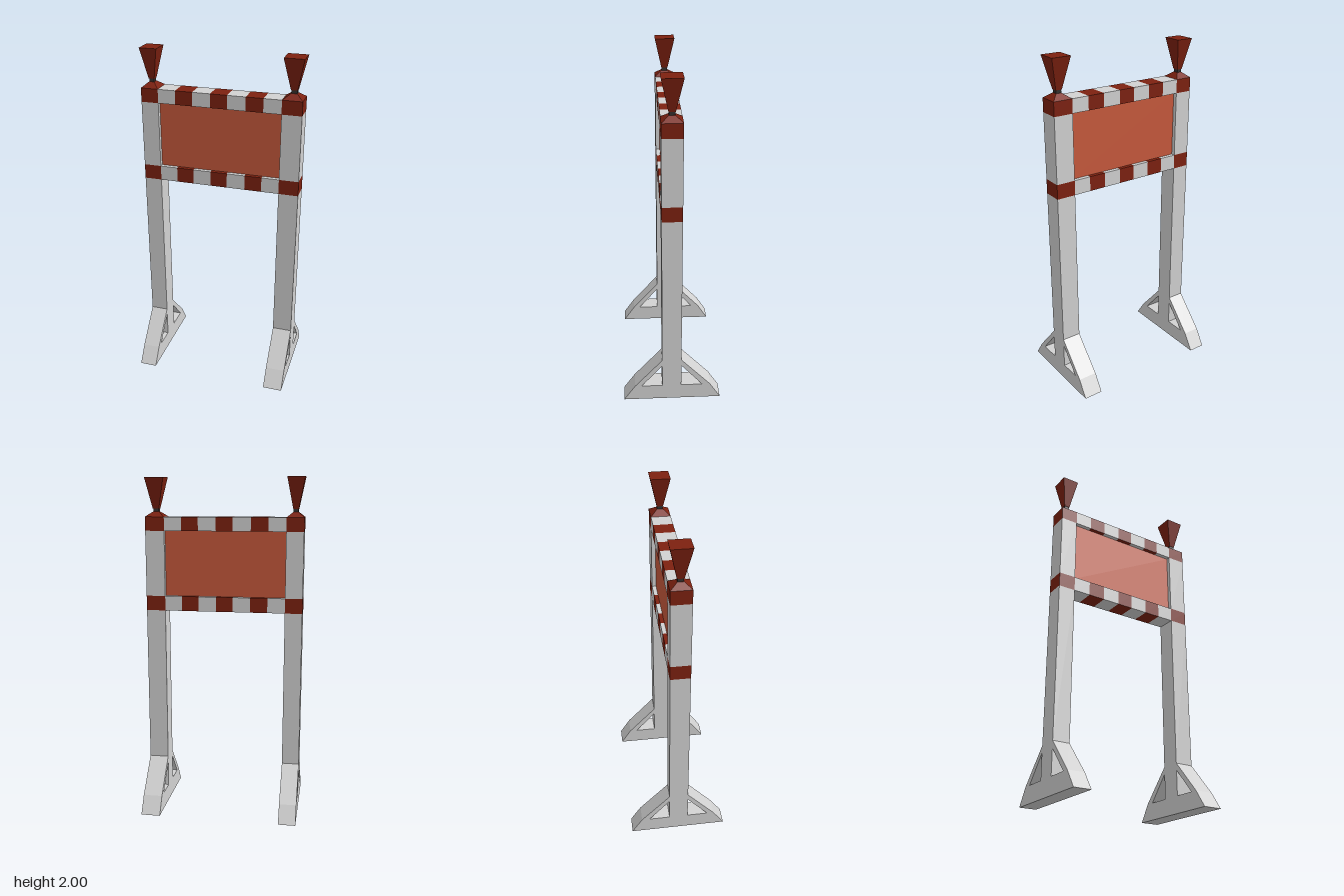
import * as THREE from 'three';

const white = new THREE.MeshStandardMaterial({ name: 'pale grey paint', color: 0xd2d2d2, flatShading: true });
const red = new THREE.MeshStandardMaterial({ name: 'dark red paint', color: 0x7d2110, flatShading: true });
const orange = new THREE.MeshStandardMaterial({ name: 'orange board', color: 0xc7593c, flatShading: true });
const dark = new THREE.MeshStandardMaterial({ name: 'dark neck', color: 0x33302e, flatShading: true });

const Z0 = -0.055, Z1 = 0.06;                       // shared depth of posts and rails
const ZC = (Z0 + Z1) / 2, DEPTH = Z1 - Z0;
const POSTS = [[-0.466, -0.364, 'rightPost'], [0.352, 0.466, 'leftPost']];

function add(parent, name, geometry, material) {
  const mesh = new THREE.Mesh(geometry, material);
  mesh.name = name;
  parent.add(mesh);
  return mesh;
}

function box(parent, name, material, x0, x1, y0, y1, z0 = Z0, z1 = Z1) {
  const mesh = add(parent, name, new THREE.BoxGeometry(x1 - x0, y1 - y0, z1 - z0), material);
  mesh.position.set((x0 + x1) / 2, (y0 + y1) / 2, (z0 + z1) / 2);
}

// Four-sided taper; sizes are full widths along x and z as a share of the post
function taper(parent, name, material, x0, x1, y0, y1, bottom, top) {
  const r = Math.SQRT1_2;
  const geometry = new THREE.CylinderGeometry(top * r, bottom * r, y1 - y0, 4).rotateY(Math.PI / 4);
  geometry.scale(x1 - x0, 1, DEPTH);
  add(parent, name, geometry, material).position.set((x0 + x1) / 2, (y0 + y1) / 2, ZC);
}

// Upright and splayed foot as one side profile with two triangular openings
function footedPost(x0, x1) {
  const shape = new THREE.Shape([
    [-0.293, 0], [0.293, 0], [0.225, 0.1], [Z1, 0.29], [Z1, 1.22],
    [Z0, 1.22], [Z0, 0.29], [-0.23, 0.1],
  ].map(([z, y]) => new THREE.Vector2(z, y)));
  for (const [inner, outer] of [[Z1, 0.185], [Z0, -0.182]]) {
    shape.holes.push(new THREE.Path([
      new THREE.Vector2(inner, 0.1), new THREE.Vector2(inner, 0.248), new THREE.Vector2(outer, 0.1),
    ]));
  }
  const geometry = new THREE.ExtrudeGeometry(shape, { depth: x1 - x0, bevelEnabled: false });
  return geometry.rotateY(-Math.PI / 2).translate(x1, 0, 0);
}

export function createModel() {
  const model = new THREE.Group();
  model.name = 'roadBarrier';

  // Posts, each topped with a flared lamp
  for (const [x0, x1, name] of POSTS) {
    const post = new THREE.Group();
    post.name = name;
    model.add(post);
    add(post, 'footedUpright', footedPost(x0, x1), white);
    box(post, 'upperUpright', white, x0, x1, 1.307, 1.692);
    taper(post, 'lampBase', red, x0, x1, 1.773, 1.802, 1, 0.3);
    taper(post, 'lampNeck', dark, x0, x1, 1.8, 1.822, 0.28, 0.28);
    taper(post, 'lampHead', red, x0, x1, 1.82, 2, 0.32, 1);
  }

  // Striped rails, red where they cross the posts
  const stripes = [-0.466, -0.364, -0.261, -0.16, -0.055, 0.044, 0.15, 0.25, 0.352, 0.466];
  for (const [name, y0, y1] of [['lowerRail', 1.22, 1.307], ['upperRail', 1.692, 1.773]]) {
    const rail = new THREE.Group();
    rail.name = name;
    model.add(rail);
    for (let i = 0; i < stripes.length - 1; i++) {
      box(rail, i % 2 ? 'paleStripe' : 'redStripe', i % 2 ? white : red, stripes[i], stripes[i + 1], y0, y1);
    }
  }

  // Recessed board between the rails
  box(model, 'board', orange, -0.364, 0.352, 1.307, 1.692, ZC - 0.033, ZC + 0.033);
  return model;
}
